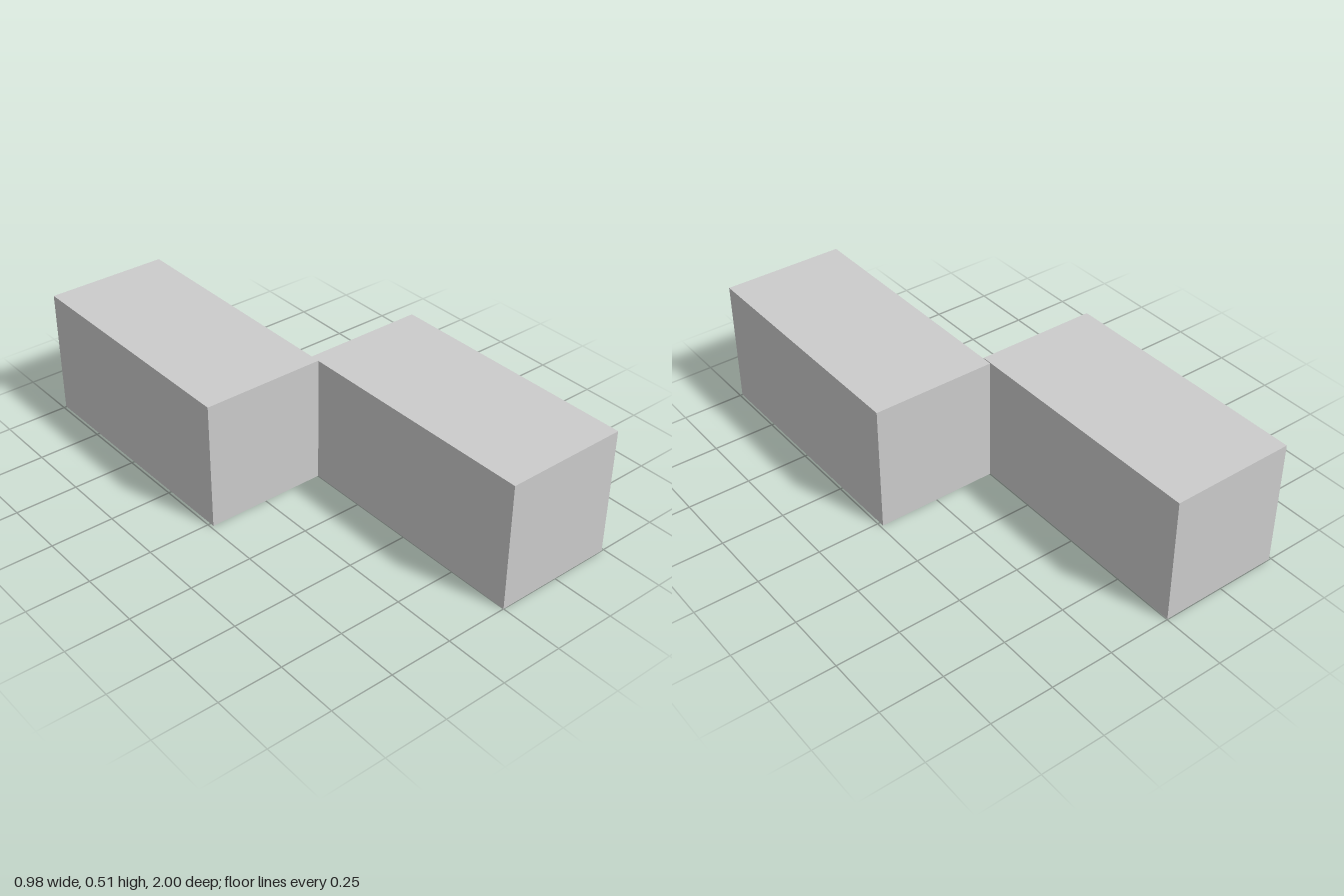
import * as THREE from 'three';

export function createModel() {
  const model = new THREE.Group();
  const material = new THREE.MeshStandardMaterial({ color: 0xcccccc, flatShading: true });

  // Box given by its lower and upper corners
  function addBlock(name, min, max) {
    const size = max.map((v, i) => v - min[i]);
    const mesh = new THREE.Mesh(new THREE.BoxGeometry(...size), material);
    mesh.position.set(...max.map((v, i) => (v + min[i]) / 2));
    mesh.name = name;
    model.add(mesh);
  }

  // Two staggered blocks, touching along a short strip in the middle
  addBlock('frontLeftBlock', [0, 0, -0.02], [0.49, 0.51, 1]);
  addBlock('backRightBlock', [-0.49, 0.002, -1], [-0.001, 0.512, 0.02]);

  return model;
}
